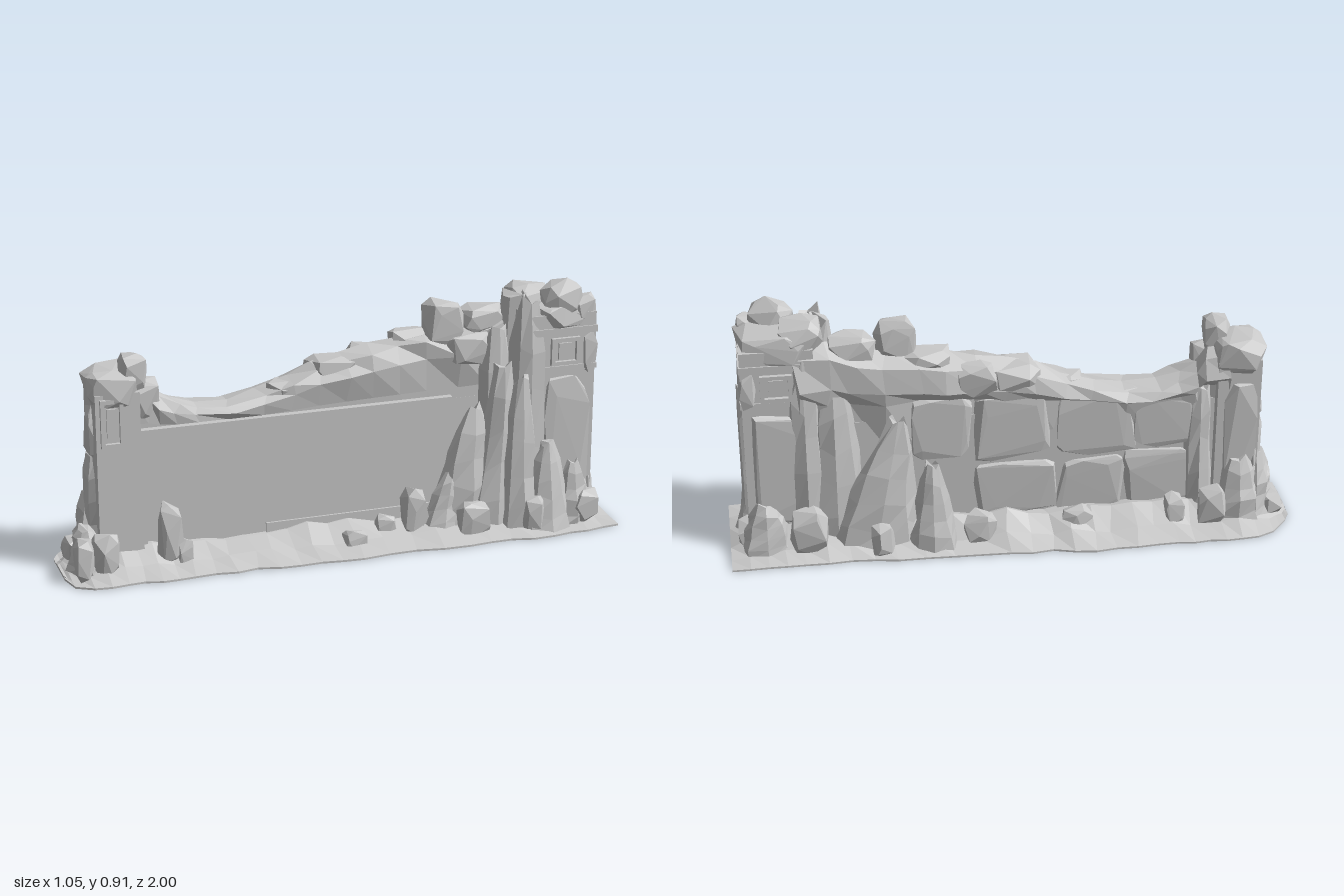
import * as THREE from 'three';
import { ConvexGeometry } from 'three/addons/geometries/ConvexGeometry.js';

// Local frame: x across the wall, z along it; the whole wall is turned about y at the end.
export function createModel() {
  const model = new THREE.Group();
  model.name = 'ruinedRockWall';
  const wall = new THREE.Group();
  wall.name = 'wallAssembly';
  wall.rotation.y = -0.329;
  model.add(wall);
  const stone = new THREE.MeshStandardMaterial({ color: 0xc8c8c8, flatShading: true });
  stone.name = 'grey stone';

  let seed = 11;
  const rnd = () => (seed = (seed * 16807) % 2147483647) / 2147483647;
  const jit = (a) => (rnd() * 2 - 1) * a;

  function add(name, geo, x = 0, y = 0, z = 0) {
    const m = new THREE.Mesh(geo, stone);
    m.name = name;
    m.position.set(x, y, z);
    wall.add(m);
    return m;
  }

  // box given by its limits
  const block = (name, x0, x1, y0, y1, z0, z1) =>
    add(name, new THREE.BoxGeometry(x1 - x0, y1 - y0, z1 - z0), (x0 + x1) / 2, (y0 + y1) / 2, (z0 + z1) / 2);

  // skin over a series of closed rings, with flat end caps
  function loft(rings) {
    const n = rings[0].length, pos = rings.flat().flat(), idx = [];
    for (let i = 0; i < rings.length - 1; i++)
      for (let k = 0; k < n; k++) {
        const a = i * n + k, b = i * n + (k + 1) % n;
        idx.push(a, a + n, b, b, a + n, b + n);
      }
    const last = (rings.length - 1) * n;
    for (let k = 1; k < n - 1; k++) idx.push(0, k, k + 1, last, last + k + 1, last + k);
    const g = new THREE.BufferGeometry();
    g.setAttribute('position', new THREE.Float32BufferAttribute(pos, 3));
    g.setIndex(idx);
    const flat = g.toNonIndexed();
    flat.computeVertexNormals();
    return flat;
  }

  // faceted boulder with half sizes a, b, c; a lower power is boxier
  function rock(name, x, y, z, a, b, c, n = 20, power = 0.6) {
    const pts = [];
    const soft = (v) => Math.sign(v) * Math.abs(v) ** power;
    for (let i = 0; i < n; i++) {
      const h = 1 - (2 * i + 1) / n, r = Math.sqrt(1 - h * h), t = i * 2.4 + jit(0.5), s = 1 + jit(0.1);
      const py = Math.max(b * s * soft(h), 0.002 - y);
      pts.push(new THREE.Vector3(a * s * soft(r * Math.cos(t)), py, c * s * soft(r * Math.sin(t))));
    }
    return add(name, new ConvexGeometry(pts), x, y, z);
  }

  // rough upright pillar of rock, narrowing to a part of its base size
  function crag(name, x, z, a, c, height, top = 0.5, lean = 0) {
    const rings = [], rows = 5, sides = 8;
    for (let i = 0; i <= rows; i++) {
      const t = i / rows, s = (1 - t * (1 - top)) * (i === rows ? 0.7 : 1), ring = [];
      for (let k = 0; k < sides; k++) {
        const q = k / sides * Math.PI * 2, e = s * (1 + jit(0.15));
        ring.push([a * e * Math.cos(q), t * height + (i ? jit(height * 0.05) : 0), c * e * Math.sin(q) + lean * t]);
      }
      rings.push(ring);
    }
    return add(name, loft(rings), x, 0.002, z);
  }

  // sloping ground: [z, left edge, right edge]
  const edges = [[-0.98, -0.22, 0.215], [-0.72, -0.22, 0.235], [-0.4, -0.23, 0.22], [0, -0.245, 0.21],
    [0.3, -0.265, 0.195], [0.6, -0.26, 0.185], [0.83, -0.264, 0.175], [0.95, -0.235, 0.175], [1.01, -0.165, 0.14], [1.03, -0.125, 0.06]];
  const ground = [];
  for (let i = 0; i < edges.length - 1; i++) {
    const steps = i < 6 ? 4 : 2;
    for (let s = 0; s < steps + (i === edges.length - 2 ? 1 : 0); s++) {
      const [z, l, r] = edges[i].map((v, k) => v + (edges[i + 1][k] - v) * s / steps);
      const wob = Math.abs(z) < 0.9 ? 0.012 : 0, h = Math.min(1, (z + 1.03) * 5, Math.max(0.1, (1.04 - z) * 5));
      const lj = l + jit(wob), rj = r + jit(wob), zj = z + jit(wob);
      ground.push([[lj, 0, z], [lj, 0.007, z], [l * 0.72, h * (0.04 + jit(0.015)), zj],
        [l * 0.48, h * (0.095 + jit(0.02)), z], [0.035, h * (0.075 + jit(0.02)), z],
        [r * 0.6, h * (0.035 + jit(0.012)), zj], [rj, 0.007, z], [rj, 0, z]]);
    }
  }
  add('rockyGround', loft(ground));

  // smooth wall with frame
  block('wallCore', -0.09, 0.022, 0.01, 0.49, -0.7, 0.8);
  block('wallLedge', -0.05, 0.048, 0.475, 0.505, -0.39, 0.76);
  block('wallLedgeLip', -0.05, 0.036, 0.458, 0.475, -0.39, 0.75);
  block('wallJamb', -0.05, 0.036, 0.05, 0.475, 0.73, 0.76);
  block('wallFoot', -0.05, 0.03, 0.05, 0.105, -0.4, 0.3);

  // ragged crest above the ledge: [z, height]
  const crest = [[-0.72, 0.8], [-0.62, 0.8], [-0.53, 0.76], [-0.42, 0.74], [-0.3, 0.735], [-0.2, 0.72], [-0.1, 0.705],
    [0, 0.685], [0.1, 0.66], [0.2, 0.615], [0.3, 0.58], [0.42, 0.555], [0.53, 0.56], [0.61, 0.585], [0.67, 0.62], [0.71, 0.68], [0.78, 0.7]];
  add('crest', loft(crest.map(([z, h]) => {
    const d = h - 0.48, j = () => jit(0.016);
    return [[-0.085, 0.35, z], [-0.1 + j(), 0.48 + d * 0.3, z + j()], [-0.13 + j(), 0.48 + d * 0.5, z + j()],
      [-0.115 + j(), h - d * 0.15, z + j()], [-0.045 + j(), h, z + j()], [0.01 + j(), h - d * 0.1, z + j()],
      [0.035 + j(), h - d * 0.35, z + j()], [0.022, 0.49 + d * 0.15, z], [0.02, 0.4, z]];
  })));
  [[-0.02, 0.765, -0.375, 0.055, 0.085, 0.075, 24], [-0.06, 0.7, -0.27, 0.055, 0.05, 0.09], [-0.05, 0.62, 0.03, 0.075, 0.06, 0.1],
    [-0.04, 0.57, 0.19, 0.06, 0.04, 0.09], [-0.06, 0.525, 0.42, 0.05, 0.03, 0.1], [-0.09, 0.63, -0.1, 0.055, 0.065, 0.08],
    [0.005, 0.67, -0.46, 0.055, 0.06, 0.1], [-0.04, 0.76, -0.53, 0.06, 0.055, 0.09]]
    .forEach((r) => rock('crestBoulder', ...r));

  // flat rough masonry on the far side: z limits, y limits
  [[-0.12, 0.19, 0.08, 0.3], [0.19, 0.42, 0.06, 0.29], [0.42, 0.68, 0.06, 0.3], [-0.12, 0.17, 0.31, 0.56],
    [0.17, 0.46, 0.3, 0.55], [0.46, 0.7, 0.31, 0.52], [-0.34, -0.12, 0.33, 0.58]]
    .forEach(([z0, z1, y0, y1]) =>
      rock('backSlab', -0.083, (y0 + y1) / 2, (z0 + z1) / 2, 0.026, (y1 - y0) / 2, (z1 - z0) / 2, 26, 0.3));

  // window: four frame bars around a raised pane, facing side s
  function windowFrame(name, x, y, z, w, h, s) {
    const t = 0.014;
    for (const q of [-1, 1]) {
      add(name, new THREE.BoxGeometry(0.02, h, t), x + s * 0.004, y, z + q * (w - t) / 2);
      add(name, new THREE.BoxGeometry(0.02, t, w), x + s * 0.004, y + q * (h - t) / 2, z);
    }
    add(name + 'Pane', new THREE.BoxGeometry(0.01, h * 0.6, w * 0.45), x + s * 0.002, y, z);
  }

  // short front tower
  block('frontTowerShaft', -0.128, 0.05, 0.02, 0.645, 0.745, 0.9);
  windowFrame('frontTowerWindow', 0.05, 0.545, 0.845, 0.08, 0.17, 1);
  rock('frontTowerCap', -0.04, 0.655, 0.825, 0.102, 0.065, 0.092, 36, 0.5);
  rock('frontTowerPeak', -0.01, 0.695, 0.755, 0.055, 0.075, 0.05, 24);
  rock('frontTowerShoulder', -0.01, 0.6, 0.715, 0.05, 0.08, 0.05);
  rock('frontTowerCarving', -0.05, 0.49, 0.89, 0.065, 0.1, 0.03, 20, 0.5);
  crag('frontTowerFacing', -0.06, 0.885, 0.085, 0.06, 0.42, 0.75);
  rock('frontTowerSide', -0.12, 0.34, 0.83, 0.025, 0.25, 0.06, 20, 0.4);

  // tall back tower
  block('backTowerShaft', -0.1, 0.11, 0.02, 0.6, -0.91, -0.66);
  block('backTowerHead', -0.105, 0.112, 0.585, 0.79, -0.91, -0.66);
  block('backTowerBand', -0.11, 0.117, 0.715, 0.74, -0.915, -0.66);
  block('backTowerSill', -0.11, 0.117, 0.58, 0.6, -0.915, -0.68);
  for (const s of [-1, 1]) {
    const x = s > 0 ? 0.112 : -0.105;
    windowFrame('backTowerWindow', x, 0.655, -0.79, 0.11, 0.1, s);
    rock('backTowerCorner', x * 0.9, 0.64, -0.89, 0.028, 0.08, 0.03, 14);
    rock('backTowerFacing', x * 0.92, 0.33, -0.8, 0.023, 0.23, 0.09, 24, 0.35);
  }
  rock('backTowerFacing', 0.01, 0.36, -0.905, 0.075, 0.23, 0.022, 24, 0.35);
  rock('backTowerCap', 0.005, 0.78, -0.795, 0.118, 0.06, 0.122, 36, 0.45);
  rock('backTowerPeak', 0.06, 0.825, -0.79, 0.06, 0.085, 0.085, 24, 0.85);
  rock('backTowerPeak', -0.03, 0.815, -0.7, 0.08, 0.07, 0.09, 24, 0.75);
  rock('backTowerPeak', 0.08, 0.8, -0.87, 0.04, 0.055, 0.045);

  // rock masses leaning on the towers and the wall: x, z, half sizes, height, top share, lean along z
  [[0.065, -0.66, 0.085, 0.08, 0.83, 0.75], [0.0, -0.65, 0.085, 0.1, 0.83, 0.85], [0.03, -0.56, 0.075, 0.08, 0.72, 0.65],
    [0.06, -0.43, 0.09, 0.17, 0.46, 0.25, -0.04], [0.07, -0.53, 0.085, 0.1, 0.6, 0.45, -0.04], [0.075, -0.33, 0.06, 0.09, 0.24, 0.3, -0.05],
    [0.12, -0.62, 0.07, 0.08, 0.56, 0.5], [0.14, -0.72, 0.08, 0.1, 0.32, 0.35], [0.125, -0.83, 0.07, 0.08, 0.24, 0.35],
    [-0.08, -0.6, 0.06, 0.1, 0.66, 0.7], [-0.12, -0.48, 0.08, 0.17, 0.5, 0.25, 0.1], [-0.165, -0.27, 0.06, 0.09, 0.34, 0.35],
    [-0.08, -0.7, 0.06, 0.07, 0.72, 0.8], [-0.085, 0.69, 0.05, 0.06, 0.54, 0.75], [-0.08, 0.9, 0.1, 0.08, 0.26, 0.5],
    [-0.13, 0.83, 0.08, 0.1, 0.27, 0.5], [0.0, 0.94, 0.12, 0.07, 0.16, 0.5], [0.04, -0.9, 0.12, 0.06, 0.2, 0.45],
    [-0.1, -0.85, 0.08, 0.1, 0.2, 0.45]]
    .forEach((c) => crag('rockMass', ...c));

  // boulders on the ground: x, z, half sizes, height
  [[0.085, 0.965, 0.055, 0.035, 0.16], [-0.09, 0.965, 0.06, 0.04, 0.1], [0.08, 0.89, 0.04, 0.05, 0.17],
    [-0.15, 0.74, 0.05, 0.06, 0.16], [0.075, 0.66, 0.035, 0.045, 0.25], [0.085, 0.61, 0.03, 0.03, 0.11], [-0.15, 0.6, 0.035, 0.04, 0.14],
    [0.12, 0.0, 0.035, 0.045, 0.075], [0.07, -0.13, 0.03, 0.04, 0.1], [0.075, -0.24, 0.045, 0.05, 0.19], [0.14, -0.44, 0.045, 0.06, 0.14],
    [0.175, -0.66, 0.035, 0.05, 0.15], [0.15, -0.87, 0.05, 0.055, 0.14], [-0.07, -0.92, 0.05, 0.035, 0.12],
    [-0.15, -0.7, 0.045, 0.07, 0.2], [-0.19, -0.45, 0.035, 0.045, 0.13], [-0.15, -0.1, 0.045, 0.06, 0.13], [-0.14, 0.25, 0.035, 0.06, 0.11]]
    .forEach(([x, z, a, c, h]) => rock('groundBoulder', x, h / 2, z, a, h / 2, c, 18));

  return model;
}
